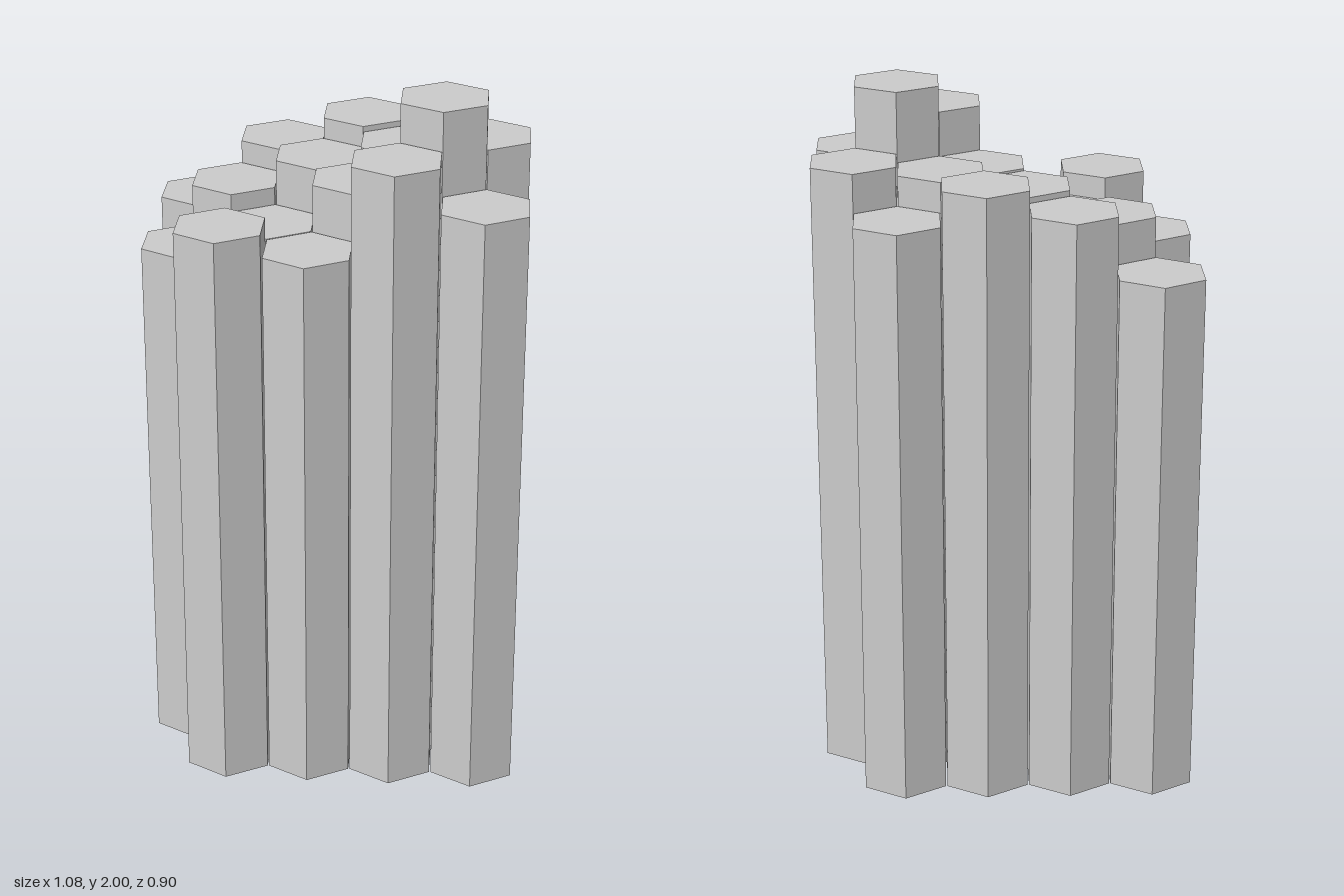
import * as THREE from 'three';

// Cluster of hexagonal columns in staggered rows, each with its own height
export function createModel() {
  const group = new THREE.Group();
  group.name = 'columnCluster';
  const material = new THREE.MeshStandardMaterial({ color: 0xcccccc, flatShading: true });

  const radius = 0.136;
  const pitchX = 0.24;
  const pitchZ = 0.2078;

  // Column heights, from the back row to the front row, each from -x to +x
  const rows = [
    [1.56, 1.74, 1.815, 1.715],
    [1.675, 1.755, 1.8, 1.825],
    [1.56, 1.625, 1.76, 2.0],
    [1.69, 1.625, 1.89, 1.762],
  ];

  rows.forEach((heights, r) => {
    const row = new THREE.Group();
    row.name = `columnRow${r + 1}`;
    // Odd rows shift by half a column so the hexagons interlock
    const shift = (r % 2 ? 1 : -1) * pitchX / 4;
    heights.forEach((height, c) => {
      const column = new THREE.Mesh(new THREE.CylinderGeometry(radius, radius, height, 6), material);
      column.name = `hexColumn${r + 1}_${c + 1}`;
      column.position.set((c - 1.5) * pitchX + shift, height / 2, (r - 1.5) * pitchZ);
      row.add(column);
    });
    group.add(row);
  });

  return group;
}
